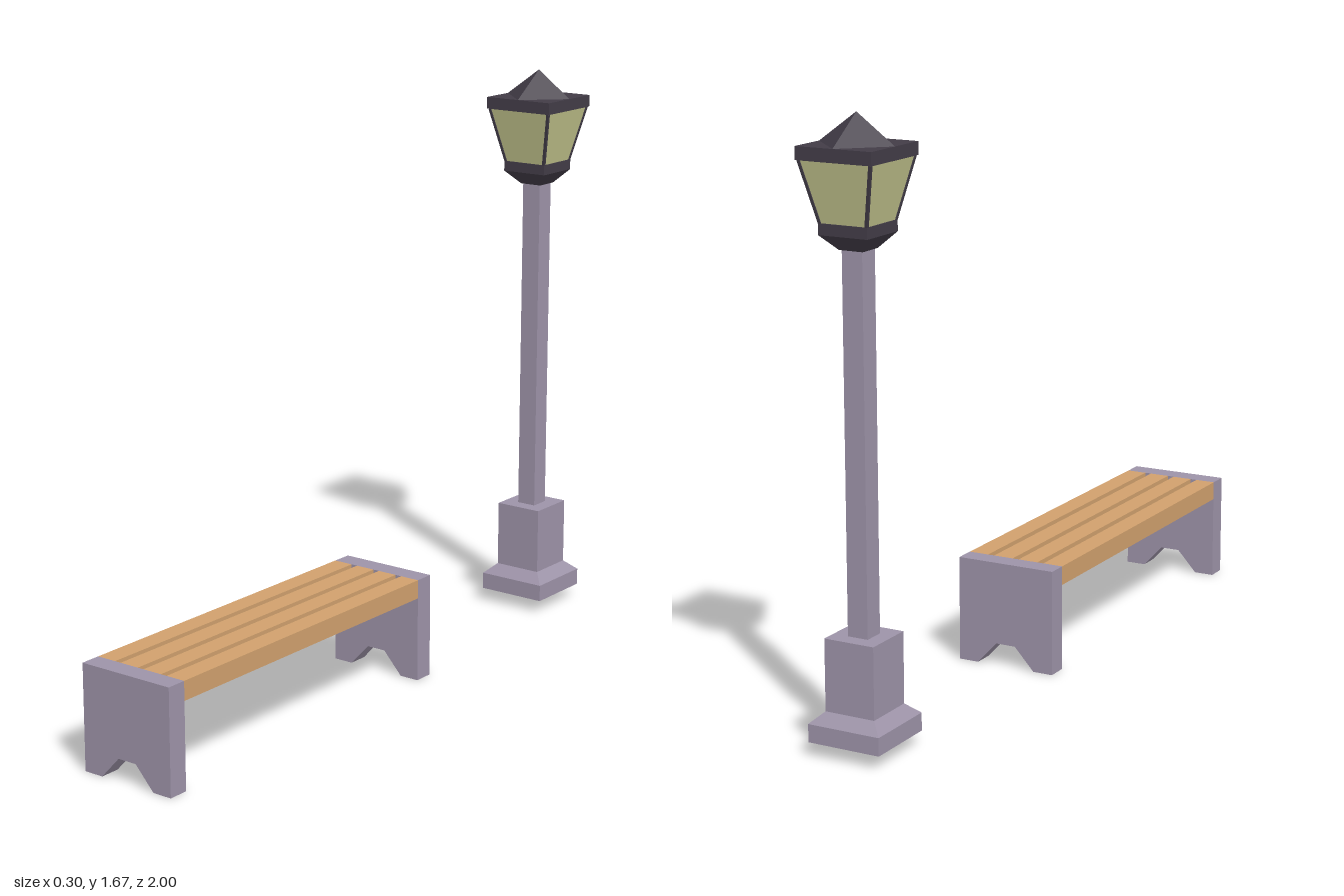
import * as THREE from 'three';

const flat = (name, color) => {
  const m = new THREE.MeshStandardMaterial({ color, flatShading: true });
  m.name = name;
  return m;
};

export function createModel() {
  const stone = flat('stone', 0x9d93a8);
  const wood = flat('wood', 0xd0a06d);
  const iron = flat('dark iron', 0x423c47);
  const glass = flat('lamp glass', 0xc4c58e);

  const model = new THREE.Group();
  const bench = new THREE.Group();
  bench.name = 'bench';
  const lamp = new THREE.Group();
  lamp.name = 'streetLamp';
  lamp.position.z = -0.89;
  model.add(bench, lamp);

  const add = (parent, name, geometry, material) => {
    const mesh = new THREE.Mesh(geometry, material);
    mesh.name = name;
    parent.add(mesh);
    return mesh;
  };

  // Square section between two heights, with half widths at bottom and top
  const square = (name, y0, y1, h0, h1, material, open = false) => {
    const g = new THREE.CylinderGeometry(h1 * Math.SQRT2, h0 * Math.SQRT2, y1 - y0, 4, 1, open);
    g.rotateY(Math.PI / 4);
    g.translate(0, (y0 + y1) / 2, 0);
    return add(lamp, name, g, material);
  };

  // Bench ends: slabs with a trapezoid notch at the foot
  const endShape = new THREE.Shape([
    [-0.15, 0], [-0.09, 0], [-0.03, 0.065], [0.03, 0.065],
    [0.09, 0], [0.15, 0], [0.15, 0.305], [-0.15, 0.305],
  ].map(([x, y]) => new THREE.Vector2(x, y)));
  const endGeometry = new THREE.ExtrudeGeometry(endShape, { depth: 0.06, bevelEnabled: false });
  for (const z of [-0.14, 0.94]) add(bench, 'benchEnd', endGeometry, stone).position.z = z;

  // Four seat slats
  const slat = new THREE.BoxGeometry(0.06, 0.055, 1.02);
  for (let i = 0; i < 4; i++) {
    add(bench, 'seatSlat', slat, wood).position.set(-0.12 + i * 0.08, 0.2775, 0.43);
  }

  // Plinth and post
  square('plinthFoot', 0.04, 0.09, 0.107, 0.107, stone);
  square('plinthBevel', 0.09, 0.12, 0.107, 0.074, stone);
  square('plinthBlock', 0.12, 0.318, 0.074, 0.074, stone);
  square('post', 0.318, 1.33, 0.03, 0.03, stone);

  // Lantern
  square('lanternNeck', 1.33, 1.37, 0.035, 0.072, iron);
  square('lanternCollar', 1.37, 1.4, 0.072, 0.072, iron);
  square('lanternGlass', 1.4, 1.56, 0.069, 0.105, glass);
  square('lanternCap', 1.56, 1.595, 0.111, 0.111, iron);

  // Slanted corner bars of the lantern
  const up = new THREE.Vector3(0, 1, 0);
  for (const sx of [-1, 1]) {
    for (const sz of [-1, 1]) {
      const a = new THREE.Vector3(sx * 0.068, 1.4, sz * 0.068);
      const b = new THREE.Vector3(sx * 0.104, 1.56, sz * 0.104);
      const dir = b.clone().sub(a);
      const bar = add(lamp, 'lanternBar', new THREE.BoxGeometry(0.008, dir.length(), 0.008), iron);
      bar.position.copy(a).add(b).multiplyScalar(0.5);
      bar.quaternion.setFromUnitVectors(up, dir.normalize());
    }
  }

  // Pointed roof with ridges running to the middle of each cap edge
  const roof = new THREE.ConeGeometry(0.111, 0.08, 4, 1, true);
  roof.translate(0, 1.635, 0);
  add(lamp, 'lanternRoof', roof, iron);

  return model;
}
